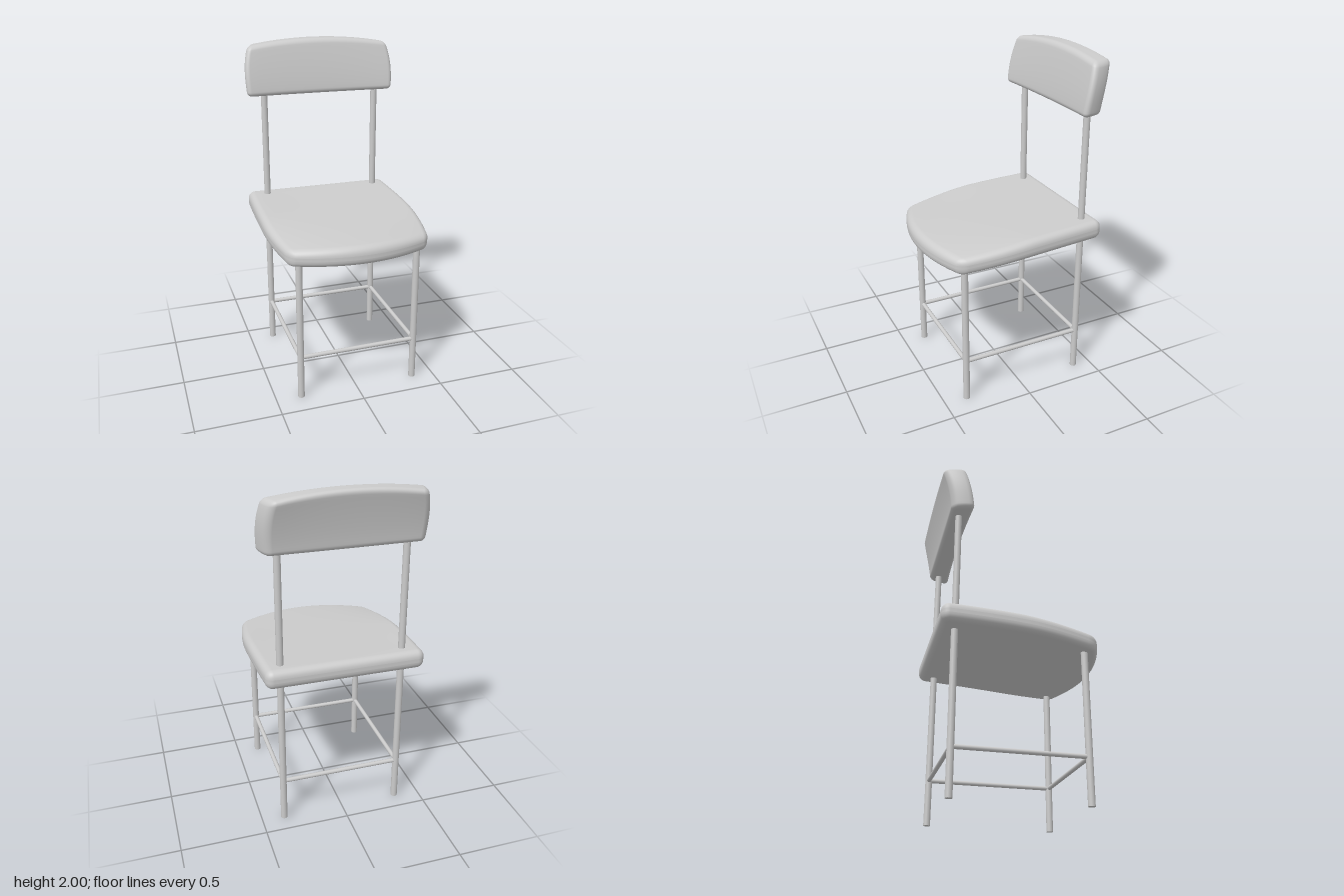
import * as THREE from 'three';
import { mergeVertices } from 'three/addons/utils/BufferGeometryUtils.js';

const material = new THREE.MeshStandardMaterial({ color: 0xcccccc });

// Box of half sizes hx, hy, hz with round edges of radius r, bent by warp(v, s);
// s holds the position along each axis, from -1 to 1.
function cushion(hx, hy, hz, r, warp) {
  const n = 24, band = 4 / n;
  const half = [hx, hy, hz];
  let geo = new THREE.BoxGeometry(1, 1, 1, n, n, n);
  geo.deleteAttribute('uv');
  geo.deleteAttribute('normal');
  geo = mergeVertices(geo);
  const pos = geo.attributes.position;
  const v = new THREE.Vector3(), inner = new THREE.Vector3();
  for (let i = 0; i < pos.count; i++) {
    v.fromBufferAttribute(pos, i);
    for (let a = 0; a < 3; a++) {
      // Crowd the first rows of the grid into the rounded edge
      const u = v.getComponent(a), f = 0.5 - Math.abs(u), h = half[a];
      const dist = f < band ? r * f / band : r + (f - band) / (0.5 - band) * (h - r);
      const p = Math.sign(u) * (h - dist);
      v.setComponent(a, p);
      inner.setComponent(a, THREE.MathUtils.clamp(p, r - h, h - r));
    }
    v.sub(inner).setLength(r).add(inner);
    warp(v, new THREE.Vector3(v.x / hx, v.y / hy, v.z / hz));
    pos.setXYZ(i, v.x, v.y, v.z);
  }
  geo.computeVertexNormals();
  return geo;
}

// Round bar between two points
function bar(name, from, to, radius) {
  const a = new THREE.Vector3(...from), b = new THREE.Vector3(...to);
  const dir = b.clone().sub(a);
  const mesh = new THREE.Mesh(new THREE.CylinderGeometry(radius, radius, dir.length(), 16), material);
  mesh.name = name;
  mesh.position.copy(a).add(b).multiplyScalar(0.5);
  mesh.quaternion.setFromUnitVectors(new THREE.Vector3(0, 1, 0), dir.normalize());
  return mesh;
}

export function createModel() {
  const group = new THREE.Group();
  group.name = 'chair';

  // Seat: bowed front, gently bulging sides, sloping down to the front
  const seat = new THREE.Mesh(cushion(0.475, 0.057, 0.495, 0.045, (v, s) => {
    const front = Math.max(0, s.z);
    v.x *= 1 - 0.03 * Math.min(0, s.z) ** 2 - 0.12 * front ** 2.5;
    v.z += 0.015 - 0.58 * v.x * v.x * THREE.MathUtils.smoothstep(s.z, -0.6, 1);
    const top = Math.max(0, s.y);
    v.y += 0.96 - 0.027 * s.z - 0.012 * front * front + 0.005 * (1 - s.z * s.z);
    v.y -= top * (0.018 * front * s.x * s.x + 0.006 * (1 - s.x * s.x) * (1 - s.z * s.z));
  }), material);
  seat.name = 'seat';
  group.add(seat);

  // Backrest: arched top, leaning back, hollow front and narrower rear
  const backrest = new THREE.Mesh(cushion(0.475, 0.1625, 0.066, 0.03, (v, s) => {
    const t = (s.y + 1) / 2, rear = (1 - s.z) / 2;
    v.x *= 1 - 0.03 * (1 - t) ** 2 - 0.08 * t ** 3 - 0.08 * rear ** 2;
    v.y += 1.8375 - 0.035 * t * s.x * s.x;
    v.z += -0.378 - 0.06 * t ** 1.4;
    v.z -= 0.014 * (1 - rear) * (1 - s.x * s.x);
  }), material);
  backrest.name = 'backrest';
  group.add(backrest);

  // Legs: the rear pair runs on up into the backrest
  const xs = { right: -0.348, left: 0.366 }, zFront = 0.36, zBack = -0.39, y = 0.265;
  for (const [side, x] of Object.entries(xs)) {
    group.add(bar(`${side}FrontLeg`, [x, 0, zFront], [x, 0.92, zFront], 0.02));
    group.add(bar(`${side}BackLeg`, [x, 0, zBack], [x, 1.74, zBack], 0.02));
    group.add(bar(`${side}Rung`, [x, y, zBack], [x, y, zFront], 0.013));
  }

  // Cross rungs
  for (const [name, z] of [['frontRung', zFront], ['backRung', zBack]]) {
    group.add(bar(name, [xs.right, y, z], [xs.left, y, z], 0.013));
  }
  return group;
}
